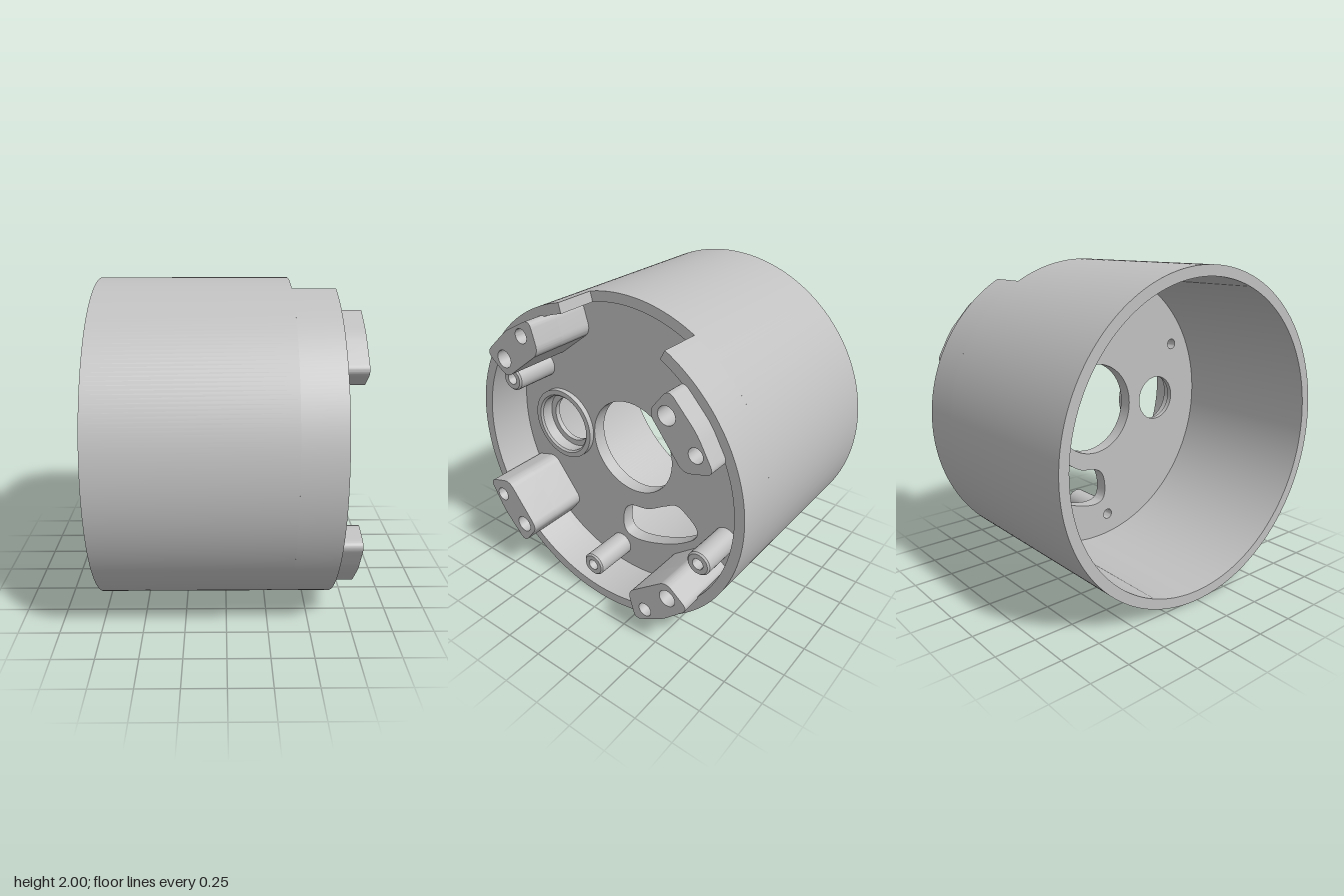
import * as THREE from 'three';
import { toCreasedNormals } from 'three/addons/utils/BufferGeometryUtils.js';

const BACK = -0.763, FLOOR_BACK = 0.245, FLOOR = 0.335, NOTCH = 0.38, RIM = 0.635, TIP = 0.76;
const R = 1, R_IN = 0.937;
const STANDOFFS = [[-0.71, 0.38], [-0.11, -0.79], [0.71, -0.37]];
const PORT = [-0.56, 0];
const rad = THREE.MathUtils.degToRad;

const circle = (x, y, r) => new THREE.Path().absarc(x, y, r, 0, Math.PI * 2, true);

// Extrude a shape (drawn looking at the open end) along the drum axis, x
function extrude(shape, x0, x1, segments = 96) {
  const g = new THREE.ExtrudeGeometry(shape, { depth: x1 - x0, bevelEnabled: false, curveSegments: segments });
  g.rotateY(Math.PI / 2).translate(x0, 0, 0);
  return toCreasedNormals(g, 0.6);
}

// Revolve a [radius, x] profile about an axis parallel to x
function turn(profile, [u, v], segments = 48) {
  const g = new THREE.LatheGeometry(profile.map(p => new THREE.Vector2(...p)), segments);
  g.rotateZ(-Math.PI / 2).translate(0, v, -u);
  return toCreasedNormals(g, 0.5);
}

// Closed polygon with rounded corners
function roundedPolygon(points, r) {
  const p = points.map(q => new THREE.Vector2(...q));
  const shape = new THREE.Shape();
  p.forEach((c, i) => {
    const prev = p[(i + p.length - 1) % p.length], next = p[(i + 1) % p.length];
    const a = c.clone().add(prev.clone().sub(c).setLength(r));
    const b = c.clone().add(next.clone().sub(c).setLength(r));
    if (i === 0) shape.moveTo(a.x, a.y); else shape.lineTo(a.x, a.y);
    shape.quadraticCurveTo(c.x, c.y, b.x, b.y);
  });
  shape.closePath();
  return shape;
}

export function createModel() {
  const model = new THREE.Group();
  const body = new THREE.Group();
  body.position.y = 1;
  model.add(body);
  const grey = new THREE.MeshStandardMaterial({ color: 0xc0c0c0 });
  grey.name = 'grey';
  const add = (name, geometry) => {
    const mesh = new THREE.Mesh(geometry, grey);
    mesh.name = name;
    body.add(mesh);
    return mesh;
  };

  // Drum wall, full ring up to the notch depth
  const ring = new THREE.Shape().absarc(0, 0, R, 0, Math.PI * 2, false);
  ring.holes.push(circle(0, 0, R_IN));
  add('drumWall', extrude(ring, BACK, NOTCH, 128));

  // Rim with an open notch at the top
  const a0 = rad(104), a1 = rad(421);
  const arc = new THREE.Shape();
  arc.absarc(0, 0, R, a0, a1, false);
  arc.absarc(0, 0, R_IN, a1, a0, true);
  arc.closePath();
  add('notchedRim', extrude(arc, NOTCH, RIM, 128));

  // Floor plate with central bore, port, kidney slot and screw holes
  const floor = new THREE.Shape().absarc(0, 0, R_IN + 0.005, 0, Math.PI * 2, false);
  floor.holes.push(circle(0, 0, 0.31), circle(...PORT, 0.205));
  STANDOFFS.forEach(s => floor.holes.push(circle(...s, 0.036)));
  const slot = [[-0.065, -0.48], [-0.01, -0.435], [0.12, -0.41], [0.26, -0.33], [0.35, -0.29], [0.43, -0.33],
    [0.5, -0.4], [0.5, -0.46], [0.4, -0.55], [0.22, -0.64], [0.02, -0.69], [-0.06, -0.67], [-0.085, -0.61]];
  const slotCurve = new THREE.CatmullRomCurve3(slot.map(([x, y]) => new THREE.Vector3(x, y, 0)), true);
  const slotPath = new THREE.Path();
  slotPath.setFromPoints(slotCurve.getPoints(72).map(p => new THREE.Vector2(p.x, p.y)));
  floor.holes.push(slotPath);
  add('floorPlate', extrude(floor, FLOOR_BACK, FLOOR));

  // Raised port collar with a stepped bore
  add('portCollar', turn([[0.155, FLOOR_BACK], [0.208, FLOOR_BACK], [0.208, FLOOR], [0.24, FLOOR],
    [0.24, 0.37], [0.207, 0.37], [0.195, 0.358], [0.195, 0.28], [0.155, 0.28], [0.155, FLOOR_BACK]], PORT, 64));

  // Hollow screw standoffs
  STANDOFFS.forEach(s => add('standoff', turn([[0.036, FLOOR_BACK], [0.05, FLOOR_BACK], [0.05, FLOOR - 0.01],
    [0.077, FLOOR - 0.01], [0.077, 0.615], [0.067, 0.625], [0.036, 0.625], [0.036, FLOOR_BACK]], s, 32)));

  // Four mounting lugs, each with two blind holes
  const outline = [[-0.355, 0.885], [-0.3, 0.695], [-0.585, 0.475], [-0.745, 0.6], [-0.555, 0.775]].reverse();
  const lugBase = extrude(roundedPolygon(outline, 0.055), FLOOR - 0.01, 0.56, 10);
  const lugTop = roundedPolygon(outline, 0.055);
  lugTop.holes.push(circle(-0.43, 0.77, 0.045), circle(-0.595, 0.59, 0.055));
  const lugEnd = extrude(lugTop, 0.56, TIP, 16);
  for (let i = 0; i < 4; i++) {
    add('lugBase', lugBase).rotation.x = i * Math.PI / 2;
    add('lugEnd', lugEnd).rotation.x = i * Math.PI / 2;
  }
  return model;
}
